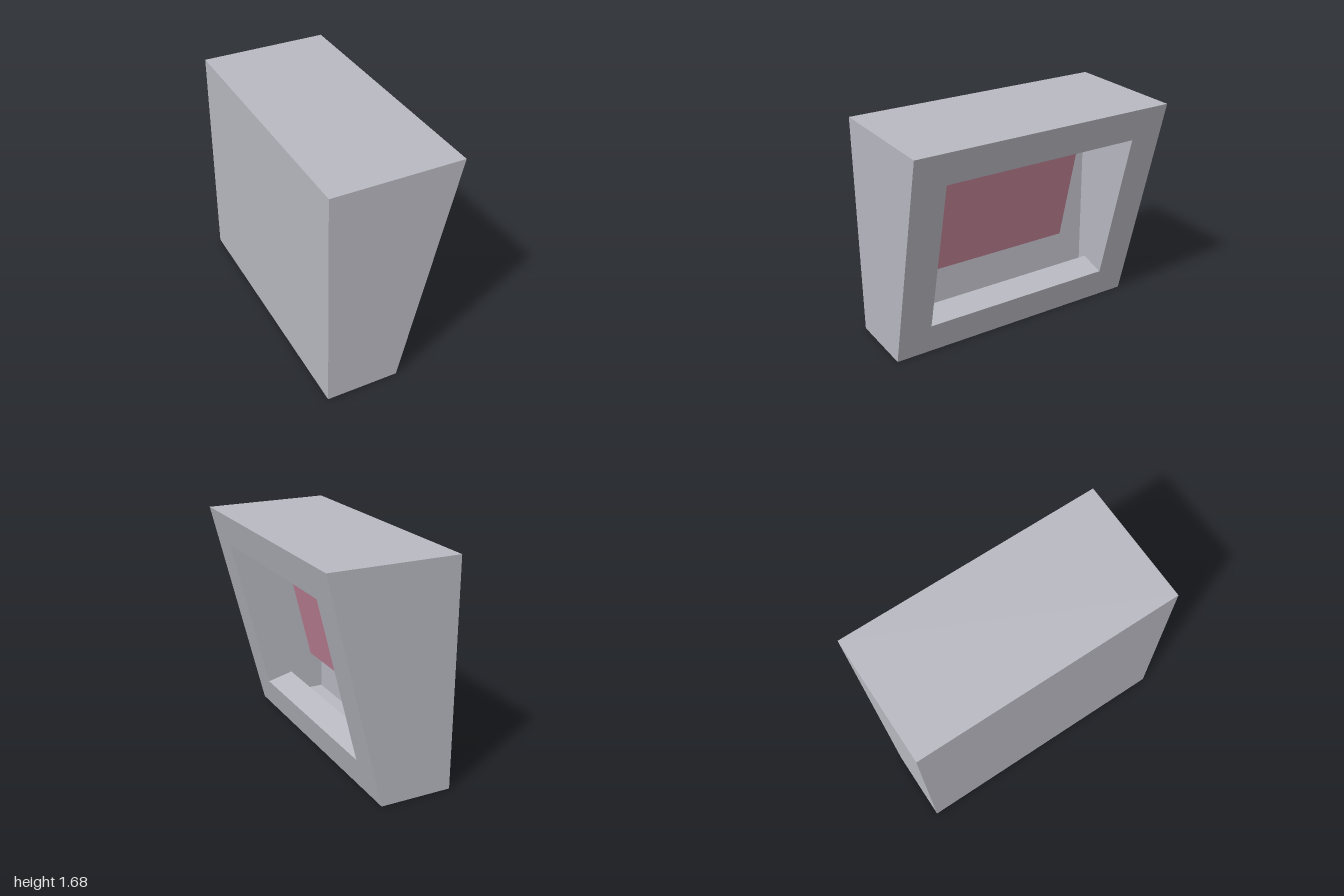
import * as THREE from 'three';

export function createModel() {
  const model = new THREE.Group();
  model.name = 'slantedDisplayCabinet';

  const grey = new THREE.MeshStandardMaterial({ color: 0xb9b9c2, side: THREE.DoubleSide });
  grey.name = 'cabinet grey';
  const rose = new THREE.MeshStandardMaterial({ color: 0xc6879b, side: THREE.DoubleSide });
  rose.name = 'screen rose';

  const add = (parent, name, geometry, material = grey) => {
    const mesh = new THREE.Mesh(geometry, material);
    mesh.name = name;
    parent.add(mesh);
    return mesh;
  };

  // Hollow casing: the profile is wider at the top than at the base
  const back = -0.477, base = 0.06, top = 0.477, height = 1.675;
  const profile = new THREE.Shape([
    new THREE.Vector2(back, 0), new THREE.Vector2(base, 0),
    new THREE.Vector2(top, height), new THREE.Vector2(back, height),
  ]);
  add(model, 'frontEndWall', new THREE.ShapeGeometry(profile).translate(0, 0, 1));
  const rear = add(model, 'rearEndWall', new THREE.ShapeGeometry(profile).translate(0, 0, 1));
  rear.geometry.scale(1, 1, -1);
  const index = rear.geometry.index.array; // flip winding after mirroring
  for (let i = 0; i < index.length; i += 3) [index[i], index[i + 1]] = [index[i + 1], index[i]];
  rear.geometry.computeVertexNormals();

  add(model, 'floor', new THREE.PlaneGeometry(base - back, 2)
    .rotateX(Math.PI / 2).translate((base + back) / 2, 0, 0));
  add(model, 'roof', new THREE.PlaneGeometry(top - back, 2)
    .rotateX(-Math.PI / 2).translate((top + back) / 2, height, 0));
  add(model, 'backWall', new THREE.PlaneGeometry(2, height)
    .rotateY(-Math.PI / 2).translate(back, height / 2, 0));

  // Slanted face: local x runs along -z, local y up the slope, local z outward
  const length = Math.hypot(top - base, height);
  const up = new THREE.Vector3((top - base) / length, height / length, 0);
  const across = new THREE.Vector3(0, 0, -1);
  const outward = new THREE.Vector3().crossVectors(across, up);
  const face = new THREE.Group();
  face.name = 'slantedFace';
  face.quaternion.setFromRotationMatrix(new THREE.Matrix4().makeBasis(across, up, outward));
  face.position.x = base;
  model.add(face);

  const rect = (Type, w, y0, y1) => new Type([
    new THREE.Vector2(-w, y0), new THREE.Vector2(w, y0),
    new THREE.Vector2(w, y1), new THREE.Vector2(-w, y1),
  ]);
  const w = 0.75, low = 0.252, high = 1.478, depth = 0.206;
  const bezel = rect(THREE.Shape, 1, 0, length);
  bezel.holes.push(rect(THREE.Path, w, low, high));
  add(face, 'bezel', new THREE.ShapeGeometry(bezel));

  // Four lips lining the opening
  const middle = (low + high) / 2;
  for (const s of [-1, 1]) {
    add(face, s < 0 ? 'lowerLip' : 'upperLip', new THREE.PlaneGeometry(2 * w, depth)
      .rotateX(s * Math.PI / 2).translate(0, s < 0 ? low : high, -depth / 2));
    add(face, s < 0 ? 'leftLip' : 'rightLip', new THREE.PlaneGeometry(depth, high - low)
      .rotateY(-s * Math.PI / 2).translate(s * w, middle, -depth / 2));
  }

  // Screen plate floating behind the opening
  add(face, 'screen', new THREE.PlaneGeometry(1.12, 0.845).translate(0, 0.863, -0.342), rose);

  return model;
}
